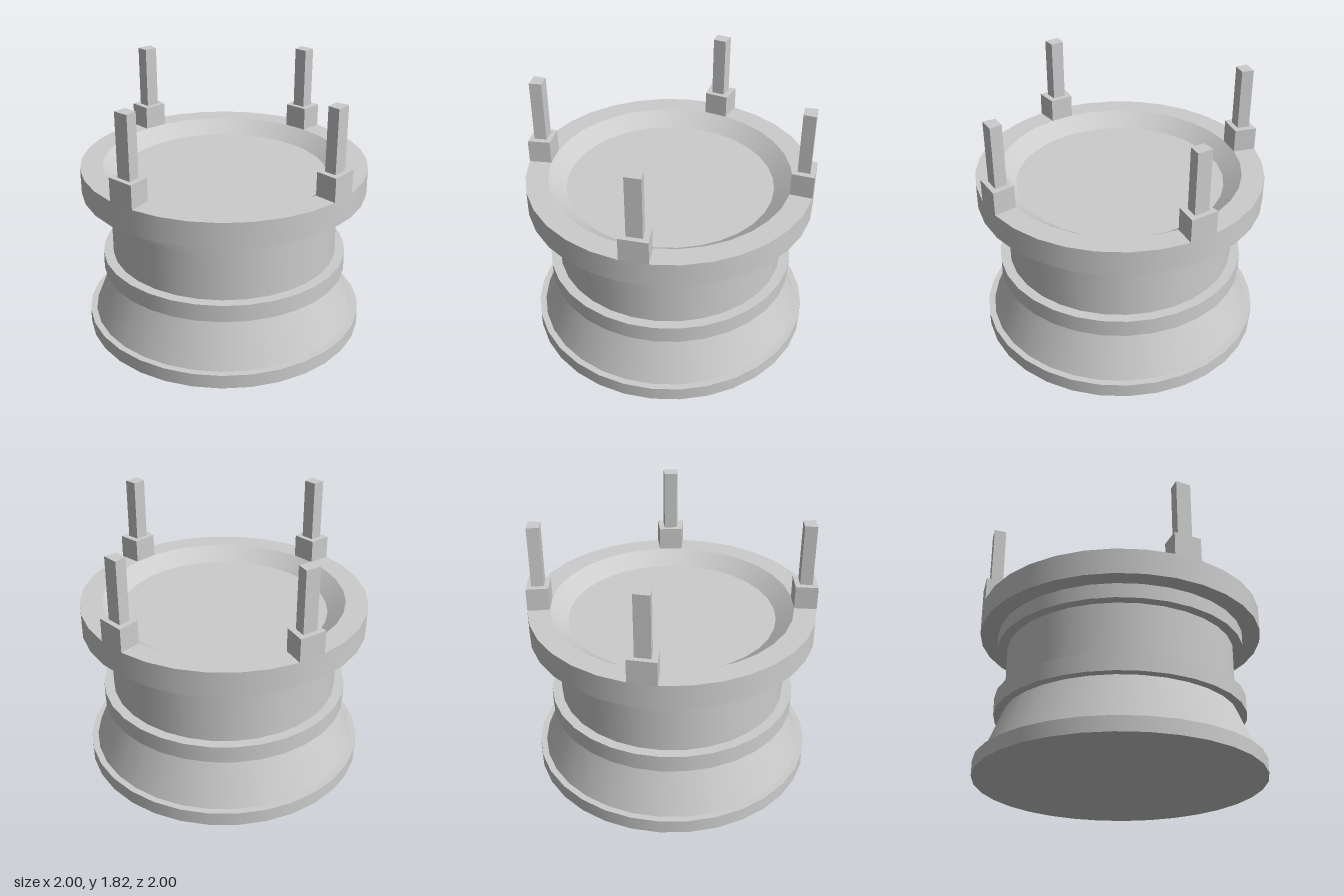
import * as THREE from 'three';

const SIDES = 32;
const STEP = (Math.PI * 2) / SIDES;

export function createModel() {
  const group = new THREE.Group();
  const grey = new THREE.MeshStandardMaterial({ color: 0xcccccc });
  grey.name = 'light grey';

  const add = (name, geometry) => {
    const mesh = new THREE.Mesh(geometry, grey);
    mesh.name = name;
    group.add(mesh);
  };

  // Turned body: one band per profile segment keeps the rims sharp
  const profile = [
    ['baseUnderside', 0, 0], ['baseEdge', 0.995, 0], ['baseLedge', 0.995, 0.1],
    ['taperedSkirt', 0.95, 0.1], ['lowerCollarUnderside', 0.815, 0.437],
    ['lowerCollar', 0.875, 0.437], ['lowerCollarTop', 0.875, 0.56],
    ['neck', 0.805, 0.56], ['upperCollarUnderside', 0.805, 0.94],
    ['upperCollar', 0.875, 0.94], ['rimUnderside', 0.875, 1.042],
    ['rimEdge', 1, 1.042], ['rimTop', 1, 1.22], ['bowlWall', 0.845, 1.22],
    ['bowlFloor', 0.725, 1.13], ['end', 0, 1.13],
  ];
  for (let i = 0; i < profile.length - 1; i++) {
    const ends = [profile[i], profile[i + 1]].map(([, r, y]) => new THREE.Vector2(r, y));
    add(profile[i][0], new THREE.LatheGeometry(ends, SIDES));
  }

  // Upright prism over a four-cornered plan of [x, z] points
  const prism = (plan, y, height) => {
    const shape = new THREE.Shape(plan.map(([x, z]) => new THREE.Vector2(x, -z)));
    return new THREE.ExtrudeGeometry(shape, { depth: height, bevelEnabled: false })
      .rotateX(-Math.PI / 2).translate(0, y, 0);
  };

  // Four rim blocks, each filling one facet of the rim, with an inset post on top
  for (const facet of [-1, 7, 15, -10]) {
    const a = facet * STEP, b = a + STEP;
    const plan = [[1, a], [1, b], [0.845, b], [0.845, a]]
      .map(([r, t]) => [r * Math.sin(t), r * Math.cos(t)]);
    const cx = plan.reduce((s, p) => s + p[0], 0) / 4;
    const cz = plan.reduce((s, p) => s + p[1], 0) / 4;
    const inset = plan.map(([x, z]) => [cx + (x - cx) * 0.55, cz + (z - cz) * 0.55]);
    add('rimBlock', prism(plan, 1.22, 0.165));
    add('post', prism(inset, 1.385, 0.435));
  }
  return group;
}
